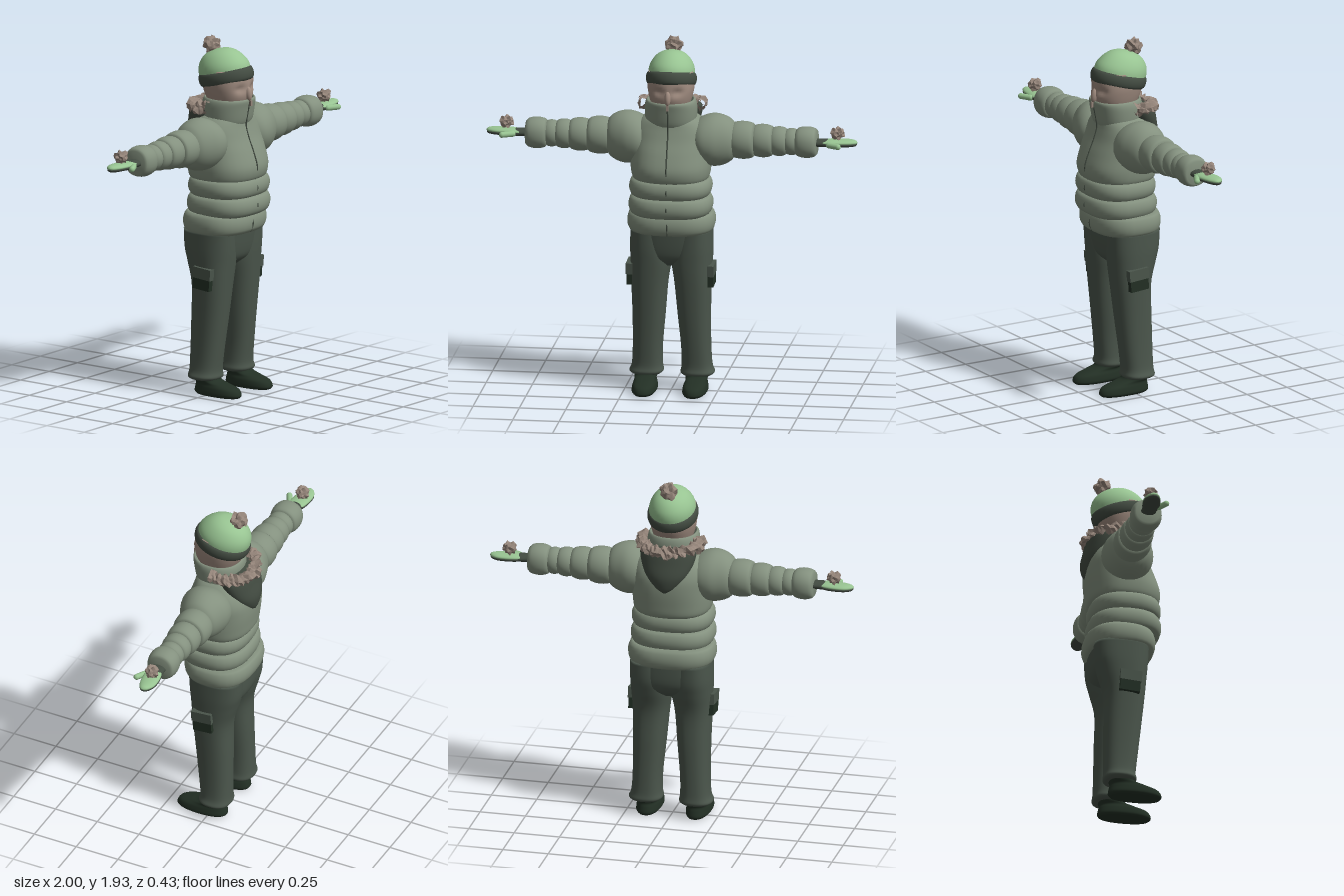
import * as THREE from 'three';

const flat = (name, color) => Object.assign(new THREE.MeshStandardMaterial({ color }), { name });
const M = {
  jacket: flat('jacket sage', 0x84917f),
  dark: flat('hood and brim dark green', 0x434c42),
  pants: flat('trouser green', 0x4b564c),
  boots: flat('boot green', 0x233025),
  knit: flat('knit green', 0x98c492),
  fur: flat('fur brown', 0x95857a),
  skin: flat('skin', 0xa08c80),
};

// Smooth interpolation between cross-sections
function smooth(rings, steps = 5) {
  const out = [], n = rings.length;
  for (let i = 0; i < n - 1; i++) {
    const [a, b, c, d] = [rings[Math.max(i - 1, 0)], rings[i], rings[i + 1], rings[Math.min(i + 2, n - 1)]];
    for (let s = 0; s < steps; s++) {
      const t = s / steps;
      out.push(b.map((_, k) => b[k] + 0.5 * t * (c[k] - a[k]
        + t * (2 * a[k] - 5 * b[k] + 4 * c[k] - d[k] + t * (3 * (b[k] - c[k]) + d[k] - a[k])))));
    }
  }
  out.push(rings[n - 1]);
  return out;
}

// Closed skin over rings [y, xMin, xMax, zMin, zMax]; p is the squareness
function loft(rings, p = 2, seg = 32) {
  const pos = [], idx = [], n = rings.length;
  const pw = v => Math.sign(v) * Math.abs(v) ** (2 / p);
  for (const [y, x0, x1, z0, z1] of rings)
    for (let j = 0; j < seg; j++) {
      const a = j / seg * Math.PI * 2;
      pos.push((x0 + x1) / 2 + pw(Math.cos(a)) * (x1 - x0) / 2, y, (z0 + z1) / 2 + pw(Math.sin(a)) * (z1 - z0) / 2);
    }
  for (const [y, x0, x1, z0, z1] of [rings[0], rings[n - 1]]) pos.push((x0 + x1) / 2, y, (z0 + z1) / 2);
  for (let j = 0; j < seg; j++) {
    const k = (j + 1) % seg, top = (n - 1) * seg;
    for (let i = 0; i < n - 1; i++) {
      const a = i * seg + j, b = i * seg + k;
      idx.push(a, a + seg, b, b, a + seg, b + seg);
    }
    idx.push(n * seg, j, k, n * seg + 1, top + k, top + j);
  }
  const g = new THREE.BufferGeometry();
  g.setAttribute('position', new THREE.Float32BufferAttribute(pos, 3));
  g.setIndex(idx);
  g.computeVertexNormals();
  return g;
}

// Ring symmetric in x, given as [y, halfWidth, zMin, zMax]
const sym = list => list.map(([y, r, z0, z1]) => [y, -r, r, z0, z1]);

// Padded band: bulges in the middle, pinched at both ends
function puff(y0, y1, r, z0, z1, pinch) {
  const rings = [];
  for (let i = 0; i <= 10; i++) {
    const t = i / 10, d = pinch * (1 - Math.sqrt(Math.sin(Math.PI * t) + 1e-9));
    rings.push([y0 + (y1 - y0) * t, -r + d, r - d, z0 + d, z1 - d]);
  }
  return rings;
}

// Repeatable spiky offset, keyed on position
const hash = (x, y, z) => {
  const v = Math.sin(Math.round(x * 2e3) * 12.99 + Math.round(y * 2e3) * 78.23 + Math.round(z * 2e3) * 37.72) * 43758.5;
  return v - Math.floor(v);
};
function spike(g, amount) {
  const p = g.attributes.position, n = g.attributes.normal;
  for (let i = 0; i < p.count; i++) {
    const [x, y, z] = [p.getX(i), p.getY(i), p.getZ(i)], h = (hash(x, y, z) - 0.35) * amount;
    p.setXYZ(i, x + n.getX(i) * h, y + n.getY(i) * h, z + n.getZ(i) * h);
  }
  g.computeVertexNormals();
  return g;
}
const pom = r => {
  const g = new THREE.IcosahedronGeometry(r, 2);
  return spike(g, r * 0.6);
};

export function createModel() {
  const root = new THREE.Group();
  root.name = 'figureInWinterClothes';
  const add = (name, geo, mat, parent = root) => {
    const m = new THREE.Mesh(geo, mat);
    m.name = name;
    parent.add(m);
    return m;
  };

  // Jacket body
  add('hemBand', loft(puff(0.885, 1.0, 0.236, -0.2, 0.182, 0.025), 2.5), M.jacket);
  add('lowerBand', loft(puff(0.985, 1.095, 0.226, -0.182, 0.215, 0.03), 2.5), M.jacket);
  add('upperBand', loft(puff(1.085, 1.19, 0.222, -0.175, 0.213, 0.03), 2.5), M.jacket);
  add('chest', loft(smooth(sym([
    [1.165, 0.18, -0.15, 0.17], [1.19, 0.205, -0.178, 0.2], [1.25, 0.215, -0.188, 0.21], [1.33, 0.215, -0.195, 0.185],
    [1.4, 0.215, -0.19, 0.155], [1.46, 0.2, -0.165, 0.135], [1.51, 0.15, -0.13, 0.12], [1.53, 0.1, -0.09, 0.09],
  ])), 2.4), M.jacket);
  add('collar', loft(smooth(sym([
    [1.46, 0.125, -0.1, 0.12], [1.5, 0.137, -0.115, 0.138], [1.57, 0.14, -0.12, 0.152], [1.605, 0.134, -0.115, 0.158],
    [1.615, 0.122, -0.105, 0.15], [1.59, 0.112, -0.095, 0.14], [1.54, 0.1, -0.085, 0.12],
  ])), 2.2), M.jacket);
  const zipPath = [[0.89, 0.165], [0.94, 0.182], [0.985, 0.17], [1.04, 0.215], [1.09, 0.187], [1.135, 0.213], [1.183, 0.193],
    [1.25, 0.21], [1.33, 0.185], [1.4, 0.155], [1.46, 0.136], [1.5, 0.138], [1.57, 0.152], [1.605, 0.158]];
  add('zip', new THREE.TubeGeometry(new THREE.CatmullRomCurve3(zipPath.map(([y, z]) => new THREE.Vector3(0, y, z))),
    60, 0.004, 6), M.dark);
  add('zipPull', new THREE.BoxGeometry(0.012, 0.03, 0.01), M.fur).position.set(0, 1.595, 0.166);

  // Hood hanging behind, edged with fur
  add('hood', loft(smooth(sym([
    [1.33, 0.02, -0.195, -0.14], [1.36, 0.07, -0.208, -0.1], [1.42, 0.115, -0.215, -0.07],
    [1.49, 0.145, -0.2, -0.03], [1.55, 0.155, -0.185, 0], [1.57, 0.14, -0.165, 0],
  ]))), M.dark);
  const furPath = [[-0.155, 1.58, 0], [-0.15, 1.572, -0.08], [-0.09, 1.562, -0.15], [0, 1.555, -0.175],
    [0.09, 1.562, -0.15], [0.15, 1.572, -0.08], [0.155, 1.58, 0]];
  add('hoodFur', spike(new THREE.TubeGeometry(new THREE.CatmullRomCurve3(furPath.map(v => new THREE.Vector3(...v))),
    40, 0.027, 9).toNonIndexed(), 0.03), M.fur);

  // Head with shallow eye sockets
  const head = loft(smooth(sym([
    [1.5, 0.075, -0.08, 0.07], [1.56, 0.09, -0.09, 0.105], [1.6, 0.107, -0.1, 0.138], [1.65, 0.12, -0.12, 0.152],
    [1.7, 0.126, -0.13, 0.15], [1.77, 0.12, -0.13, 0.14],
  ])), 2.2, 48);
  const hp = head.attributes.position;
  for (let i = 0; i < hp.count; i++) {
    const x = Math.abs(hp.getX(i)), y = hp.getY(i), z = hp.getZ(i);
    if (z > 0.05) hp.setZ(i, z - 0.016 * Math.exp(-(((x - 0.05) / 0.03) ** 2) - ((y - 1.675) / 0.022) ** 2));
  }
  head.computeVertexNormals();
  add('head', head, M.skin);
  const nose = add('nose', new THREE.SphereGeometry(1, 16, 12), M.skin);
  nose.scale.set(0.017, 0.04, 0.02);
  nose.position.set(0, 1.645, 0.15);
  nose.rotation.x = -0.15;

  // Knitted hat, tipped backwards
  const hat = new THREE.Group();
  hat.name = 'hat';
  hat.position.y = 1.722;
  hat.rotation.x = -0.24;
  root.add(hat);
  add('hatBrim', loft(puff(-0.036, 0.034, 0.136, -0.157, 0.158, 0.014)), M.dark, hat);
  add('hatCrown', loft(smooth(sym([
    [0, 0.124, -0.148, 0.146], [0.05, 0.123, -0.15, 0.143], [0.09, 0.109, -0.138, 0.122],
    [0.125, 0.082, -0.108, 0.088], [0.146, 0.046, -0.064, 0.048], [0.154, 0.004, -0.01, 0],
  ]))), M.knit, hat);
  add('hatPompom', pom(0.04), M.fur).position.set(0, 1.88, -0.096);

  // Trouser seat
  add('trouserSeat', loft(smooth(sym([
    [0.7, 0.08, -0.09, 0.06], [0.74, 0.18, -0.14, 0.105], [0.8, 0.216, -0.165, 0.124], [0.92, 0.215, -0.17, 0.14],
  ])), 2.4), M.pants);

  for (const s of [1, -1]) {
    const tag = s > 0 ? 'left' : 'right';
    const side = (y, inner, outer, z0, z1) => s > 0 ? [y, inner, outer, z0, z1] : [y, -outer, -inner, z0, z1];

    // Trouser leg with gathered hem, and shoe
    add(tag + 'Leg', loft(smooth([
      side(0.085, 0.06, 0.215, -0.11, 0.045), side(0.1, 0.046, 0.23, -0.122, 0.058), side(0.14, 0.052, 0.216, -0.118, 0.054),
      side(0.25, 0.05, 0.21, -0.116, 0.066), side(0.42, 0.034, 0.21, -0.114, 0.086), side(0.6, 0.018, 0.215, -0.112, 0.106),
      side(0.72, 0.0, 0.22, -0.142, 0.118), side(0.8, 0.005, 0.222, -0.162, 0.125), side(0.9, 0.02, 0.22, -0.168, 0.13),
    ]), 2.4), M.pants);
    add(tag + 'Shoe', loft(smooth([
      side(0, 0.08, 0.19, -0.085, 0.185), side(0.015, 0.07, 0.203, -0.095, 0.197), side(0.045, 0.073, 0.2, -0.09, 0.18),
      side(0.065, 0.08, 0.195, -0.085, 0.12), side(0.085, 0.075, 0.2, -0.09, 0.055), side(0.13, 0.07, 0.205, -0.1, 0.045),
    ]), 2.3), M.boots);

    // Cargo pocket
    const pocket = new THREE.Group();
    pocket.name = tag + 'Pocket';
    pocket.position.set(s * 0.219, 0.65, 0.01);
    pocket.rotation.x = 0.08;
    root.add(pocket);
    add('pocketPouch', new THREE.BoxGeometry(0.03, 0.1, 0.11), M.boots, pocket).position.y = -0.01;
    add('pocketFlap', new THREE.BoxGeometry(0.036, 0.06, 0.118), M.pants, pocket).position.y = 0.03;

    // Sleeve and mitten are built upright, then swung out sideways
    const limb = (name, rings, mat, p, y = 1.39) => {
      const g = loft(rings, p);
      g.rotateZ(-s * Math.PI / 2);
      g.translate(0, y, 0);
      return add(tag + name, g, mat);
    };
    limb('ShoulderPuff', smooth(sym([
      [0.1, 0.08, -0.09, 0.08], [0.16, 0.122, -0.135, 0.13], [0.22, 0.142, -0.143, 0.135], [0.275, 0.137, -0.128, 0.118],
      [0.32, 0.115, -0.11, 0.095], [0.345, 0.085, -0.085, 0.07],
    ])), M.jacket);
    const sleeve = [[0.32, 0.45, 0.102], [0.435, 0.55, 0.09], [0.535, 0.625, 0.08], [0.61, 0.685, 0.073], [0.67, 0.785, 0.084]];
    sleeve.forEach(([a, b, r], i) => limb(i < 4 ? 'SleevePuff' + i : 'Cuff',
      puff(a, b, r, -r - 0.014, r - 0.014, 0.02), M.jacket, i < 4 ? 2 : 2.2));

    limb('Wrist', smooth(sym([
      [0.75, 0.022, -0.055, 0.03], [0.8, 0.021, -0.052, 0.028], [0.845, 0.02, -0.056, 0.03], [0.86, 0.01, -0.04, 0.02],
    ])), M.dark);
    const mitten = smooth(sym([
      [0.82, 0.012, -0.05, 0.028], [0.86, 0.017, -0.062, 0.032], [0.91, 0.017, -0.068, 0.026],
      [0.955, 0.016, -0.064, 0.016], [0.988, 0.012, -0.046, 0], [1, 0.003, -0.028, -0.014],
    ]));
    limb('MittenBack', mitten, M.knit, 2, 1.395);
    limb('MittenPalm', mitten.map(r => [r[0] - 0.002, ...r.slice(1)]), M.dark, 2, 1.386);
    const thumb = add(tag + 'Thumb', new THREE.CapsuleGeometry(0.016, 0.06, 6, 12).rotateZ(Math.PI / 2), M.knit);
    thumb.position.set(s * 0.88, 1.388, 0.045);
    thumb.rotation.y = -s * 0.5;
    add(tag + 'MittenPompom', pom(0.032), M.fur).position.set(s * 0.893, 1.44, -0.022);
  }
  return root;
}
